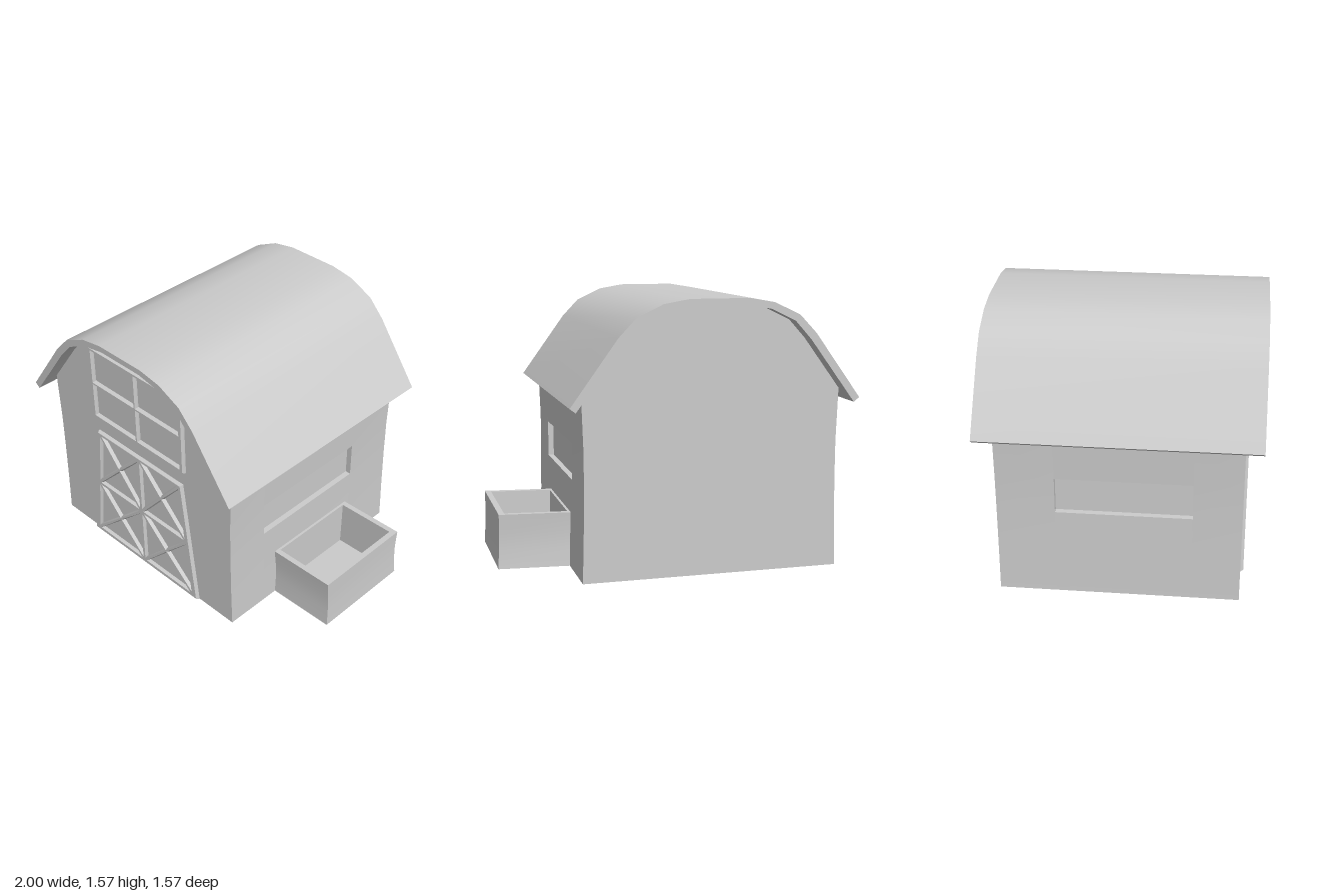
import * as THREE from 'three';
import { toCreasedNormals } from 'three/addons/utils/BufferGeometryUtils.js';

const CX = -0.167; // centre line of the barn
const material = new THREE.MeshStandardMaterial({ color: 0xcccccc });
const V = (x, y) => new THREE.Vector2(x, y);

function mesh(name, geometry, parent) {
  const m = new THREE.Mesh(toCreasedNormals(geometry, 0.5), material);
  m.name = name;
  parent.add(m);
  return m;
}

// Closed outline from its right half, listed from bottom to top
function mirrored(half) {
  return [...half.map(([x, y]) => V(x, y)), ...half.slice().reverse().map(([x, y]) => V(-x, y))];
}

function prism(points, z0, z1) {
  const g = new THREE.ExtrudeGeometry(new THREE.Shape(points), { depth: z1 - z0, bevelEnabled: false });
  return g.translate(CX, 0, z0);
}

// Moves each edge of a convex counter-clockwise polygon inward by d
function inset(pts, d) {
  const n = pts.length;
  return pts.map((p, i) => {
    const a = p.clone().sub(pts[(i + n - 1) % n]).normalize();
    const b = pts[(i + 1) % n].clone().sub(p).normalize();
    const na = V(-a.y, a.x), nb = V(-b.y, b.x);
    return na.add(nb).multiplyScalar(d / (1 + V(-a.y, a.x).dot(nb))).add(p);
  });
}

// Raised lattice with chamfered edges on the front wall
function lattice(outline, holes) {
  const shape = new THREE.Shape(outline);
  holes.forEach(h => shape.holes.push(new THREE.Path(h)));
  const g = new THREE.ExtrudeGeometry(shape, {
    depth: 0.02, bevelEnabled: true, bevelThickness: 0.014, bevelSize: 0.008,
    bevelOffset: -0.008, bevelSegments: 1,
  });
  return g.translate(CX, 0, 0.671);
}

const rect = (x0, y0, x1, y1) => [V(x0, y0), V(x1, y0), V(x1, y1), V(x0, y1)];

function crossing(a, b, c, d) {
  const r = b.clone().sub(a), s = d.clone().sub(c), q = c.clone().sub(a);
  return a.clone().addScaledVector(r, q.cross(s) / r.cross(s));
}

// Open box made of four-cornered rings joined from the underside to the inner floor
function binGeometry() {
  const rings = [ // inner x, outer x, half width, y at the wall, y outside
    [0.55, 1.0, 0.316, 0, 0.012],
    [0.55, 0.994, 0.307, 0.11, 0.12],
    [0.55, 0.991, 0.307, 0.21, 0.22],
    [0.55, 0.992, 0.316, 0.32, 0.332],
    [0.59, 0.957, 0.283, 0.321, 0.331],
    [0.59, 0.957, 0.278, 0.03, 0.04],
  ].map(([x0, x1, w, ya, yb]) => [[x0, ya, w], [x1, yb, w], [x1, yb, -w], [x0, ya, -w]]);
  const pos = [];
  const quad = (a, b, c, d) => pos.push(...a, ...b, ...c, ...a, ...c, ...d);
  for (let r = 0; r < rings.length - 1; r++) {
    for (let i = 0; i < 4; i++) {
      const j = (i + 1) % 4;
      quad(rings[r][i], rings[r][j], rings[r + 1][j], rings[r + 1][i]);
    }
  }
  quad(...rings[0].slice().reverse());
  quad(...rings[rings.length - 1]);
  const g = new THREE.BufferGeometry();
  g.setAttribute('position', new THREE.Float32BufferAttribute(pos, 3));
  g.computeVertexNormals();
  return g;
}

export function createModel() {
  const barn = new THREE.Group();
  barn.name = 'barn';

  // Walls: the middle stretch has a notch on each side for the long windows
  const lower = [[0.75, 0], [0.743, 0.25], [0.739, 0.52]];
  const notch = [[0.705, 0.52], [0.705, 0.735]];
  const upper = [[0.739, 0.735], [0.75, 1.05], [0.545, 1.345], [0.448, 1.45], [0.305, 1.52], [0.155, 1.55]];
  const solid = mirrored([...lower, ...upper]);
  const notched = mirrored([...lower, ...notch, ...upper]);
  const walls = new THREE.Group();
  walls.name = 'walls';
  barn.add(walls);
  mesh('backWalls', prism(solid, -0.683, -0.355), walls);
  mesh('windowWalls', prism(notched, -0.355, 0.41), walls);
  mesh('frontWalls', prism(solid, 0.41, 0.683), walls);

  // Curved roof shell with overhang on all sides
  const outer = [[0.833, 1.0], [0.565, 1.37], [0.465, 1.475], [0.315, 1.545], [0.168, 1.57]];
  const inner = [[0.8, 0.975], [0.535, 1.335], [0.44, 1.44], [0.3, 1.508], [0.155, 1.535]];
  const roofOutline = [...mirrored(outer), ...mirrored(inner).reverse()];
  mesh('roof', prism(roofOutline, -0.783, 0.783), barn);

  // Loft window with four panes
  const panes = [];
  for (const [y0, y1] of [[0.963, 1.172], [1.198, 1.407]]) {
    panes.push(rect(-0.357, y0, -0.013, y1), rect(0.013, y0, 0.357, y1));
  }
  mesh('loftWindow', lattice(rect(-0.392, 0.935, 0.392, 1.435), panes), barn);

  // Tapered double door: each quarter is braced with a cross
  const halfWidth = y => 0.44 - 0.1125 * y;
  const gaps = [];
  for (const [y0, y1] of [[0.02, 0.42], [0.42, 0.82]]) {
    for (const side of [-1, 1]) {
      const q = side > 0
        ? [V(0, y0), V(halfWidth(y0), y0), V(halfWidth(y1), y1), V(0, y1)]
        : [V(-halfWidth(y0), y0), V(0, y0), V(0, y1), V(-halfWidth(y1), y1)];
      const o = crossing(q[0], q[2], q[1], q[3]);
      q.forEach((p, i) => gaps.push(inset([p, q[(i + 1) % 4], o], 0.013)));
    }
  }
  const doorOutline = [V(-0.472, 0), V(0.472, 0), V(0.365, 0.835), V(-0.365, 0.835)];
  mesh('barnDoor', lattice(doorOutline, gaps), barn);

  // Open feed bin against the left wall
  mesh('feedBin', binGeometry(), barn);

  return barn;
}
